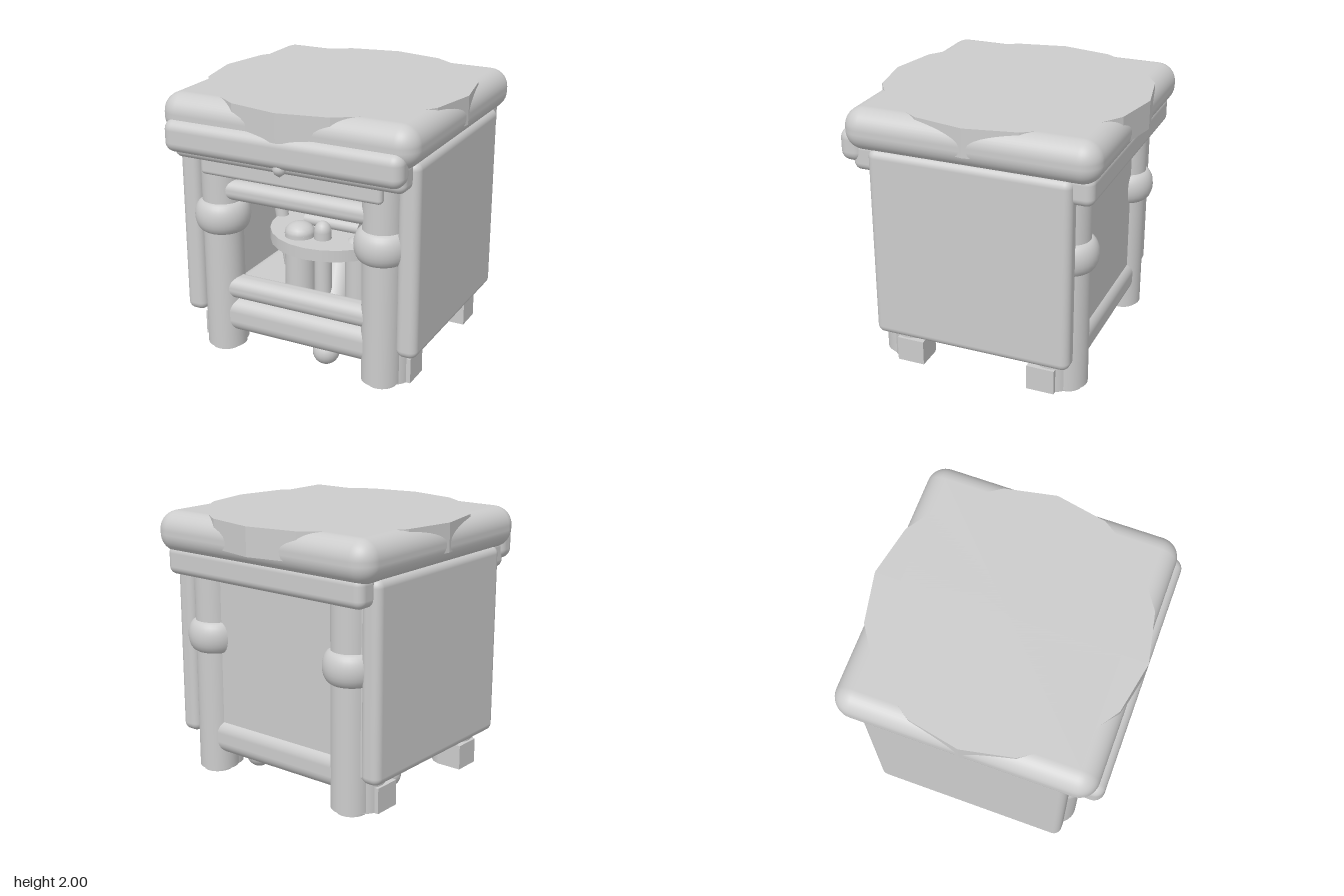
import * as THREE from 'three';
import { RoundedBoxGeometry } from 'three/addons/geometries/RoundedBoxGeometry.js';

export function createModel() {
  const model = new THREE.Group();
  const grey = new THREE.MeshStandardMaterial({ color: 0xcccccc });
  grey.name = 'plainGrey';

  const add = (name, geometry, x = 0, y = 0, z = 0) => {
    const mesh = new THREE.Mesh(geometry, grey);
    mesh.name = name;
    mesh.position.set(x, y, z);
    model.add(mesh);
    return mesh;
  };
  // Rounded box given by its limits on each axis
  const block = (name, [x0, x1], [y0, y1], [z0, z1], r) =>
    add(name, new RoundedBoxGeometry(x1 - x0, y1 - y0, z1 - z0, 5, r),
      (x0 + x1) / 2, (y0 + y1) / 2, (z0 + z1) / 2);
  // Upright cylinder between two heights
  const post = (name, r, y0, y1, x, z, sides = 32) =>
    add(name, new THREE.CylinderGeometry(r, r, y1 - y0, sides), x, (y0 + y1) / 2, z);
  // Tapered rod between two points
  const rod = (name, from, to, r0, r1) => {
    const a = new THREE.Vector3(...from), b = new THREE.Vector3(...to);
    const dir = b.clone().sub(a);
    const mesh = add(name, new THREE.CylinderGeometry(r1, r0, dir.length(), 20));
    mesh.position.copy(a).add(b).multiplyScalar(0.5);
    mesh.quaternion.setFromUnitVectors(new THREE.Vector3(0, 1, 0), dir.normalize());
    return mesh;
  };

  // Top slab with a sixteen-sided disc let into it
  block('topSlab', [-0.98, 0.98], [1.69, 2], [-0.935, 0.935], 0.14);
  const disc = new THREE.CylinderGeometry(0.985, 0.985, 0.21, 16).toNonIndexed();
  disc.computeVertexNormals();
  add('topDisc', disc, 0, 1.895, 0);

  // Aprons, drawer front and knob
  block('drawerFront', [-0.92, 0.915], [1.59, 1.83], [0.8, 0.985], 0.075);
  block('frontApron', [-0.9, 0.9], [1.53, 1.75], [0.7, 0.89], 0.06);
  block('backApron', [-0.9, 0.9], [1.53, 1.75], [-0.885, -0.7], 0.06);
  block('lowerApron', [-0.71, 0.71], [1.415, 1.6], [0.66, 0.83], 0.03);
  const knob = new THREE.LatheGeometry(
    [[0, -0.06], [0.035, -0.035], [0.05, 0], [0.035, 0.03], [0, 0.06]]
      .map(([x, y]) => new THREE.Vector2(x, y)), 16);
  add('drawerKnob', knob, 0, 1.595, 0.93);

  // Side and back panels
  for (const s of [-1, 1]) {
    block('sidePanel', s < 0 ? [-0.945, -0.785] : [0.785, 0.945],
      [0.27, 1.72], [-0.75, 0.75], 0.06);
  }
  block('backPanel', [-0.8, 0.8], [0.27, 1.7], [-0.72, -0.62], 0.04);

  // Base and front rails
  block('base', [-0.76, 0.76], [0.16, 0.43], [-0.76, 0.76], 0.1);
  block('lowerRail', [-0.65, 0.65], [0.43, 0.6], [0.58, 0.76], 0.075);
  block('upperRail', [-0.65, 0.65], [1.21, 1.36], [0.58, 0.76], 0.065);

  // Corner posts with turned rings, pads and stub feet
  const ring = [new THREE.Vector2(0.13, -0.12)];
  for (let i = 0; i <= 12; i++) {
    const a = -Math.PI / 2 + (Math.PI * i) / 12;
    ring.push(new THREE.Vector2(0.135 + 0.07 * Math.cos(a), 0.12 * Math.sin(a)));
  }
  for (const sx of [-1, 1]) for (const sz of [-1, 1]) {
    post('cornerPost', 0.147, 0.03, 1.65, sx * 0.647, sz * 0.65);
    add('postRing', new THREE.LatheGeometry(ring, 32), sx * 0.647, 1.07, sz * 0.65);
    post('footPad', 0.11, 0, 0.03, sx * 0.655, sz * 0.655);
    post('innerPost', 0.15, 0.02, 0.45, sx * 0.69, sz * 0.56);
    add('stubFoot', new THREE.BoxGeometry(0.2, 0.19, 0.21), sx * 0.76, 0.115, sz * 0.515);
  }

  // Three splayed legs meeting under the inner column
  for (const deg of [74, 194, 314]) {
    const a = THREE.MathUtils.degToRad(deg), c = Math.cos(a), s = Math.sin(a);
    rod('splayedLeg', [0.61 * c, 0.1, 0.61 * s], [0.1 * c, 0.62, 0.1 * s], 0.1, 0.12);
    add('splayedFoot', new THREE.SphereGeometry(0.1, 20, 14), 0.61 * c, 0.1, 0.61 * s);
  }

  // Inner column with a domed cap
  post('innerColumn', 0.15, 0.55, 1.36, 0, -0.1);
  const cap = add('columnCap', new THREE.SphereGeometry(0.22, 24, 14), 0, 1.34, -0.1);
  cap.scale.y = 0.33;

  // Round shelf with pegs standing through it
  post('roundShelf', 0.487, 0.805, 0.895, 0, 0.12, 24);
  for (const [x, z, r, top] of [[-0.145, 0.4, 0.113, 0.92], [0.29, 0.3, 0.1, 0.85],
    [0.035, 0.38, 0.065, 0.95], [-0.3, -0.1, 0.09, 0.85]]) {
    post('shelfPeg', r, 0.43, top, x, z, 24);
    const dome = add('pegDome', new THREE.SphereGeometry(r, 20, 12), x, top, z);
    dome.scale.y = 0.08 / r;
  }

  // Cross rods and the leaning strut inside
  rod('upperCrossRod', [-0.2, 0.945, 0.2], [0.25, 0.945, 0.2], 0.045, 0.045);
  rod('lowerCrossRod', [-0.45, 0.68, 0.05], [0.45, 0.68, 0.05], 0.055, 0.055);
  rod('leaningStrut', [-0.4, 0.5, 0.1], [-0.53, 1.25, 0.1], 0.05, 0.05);
  return model;
}
